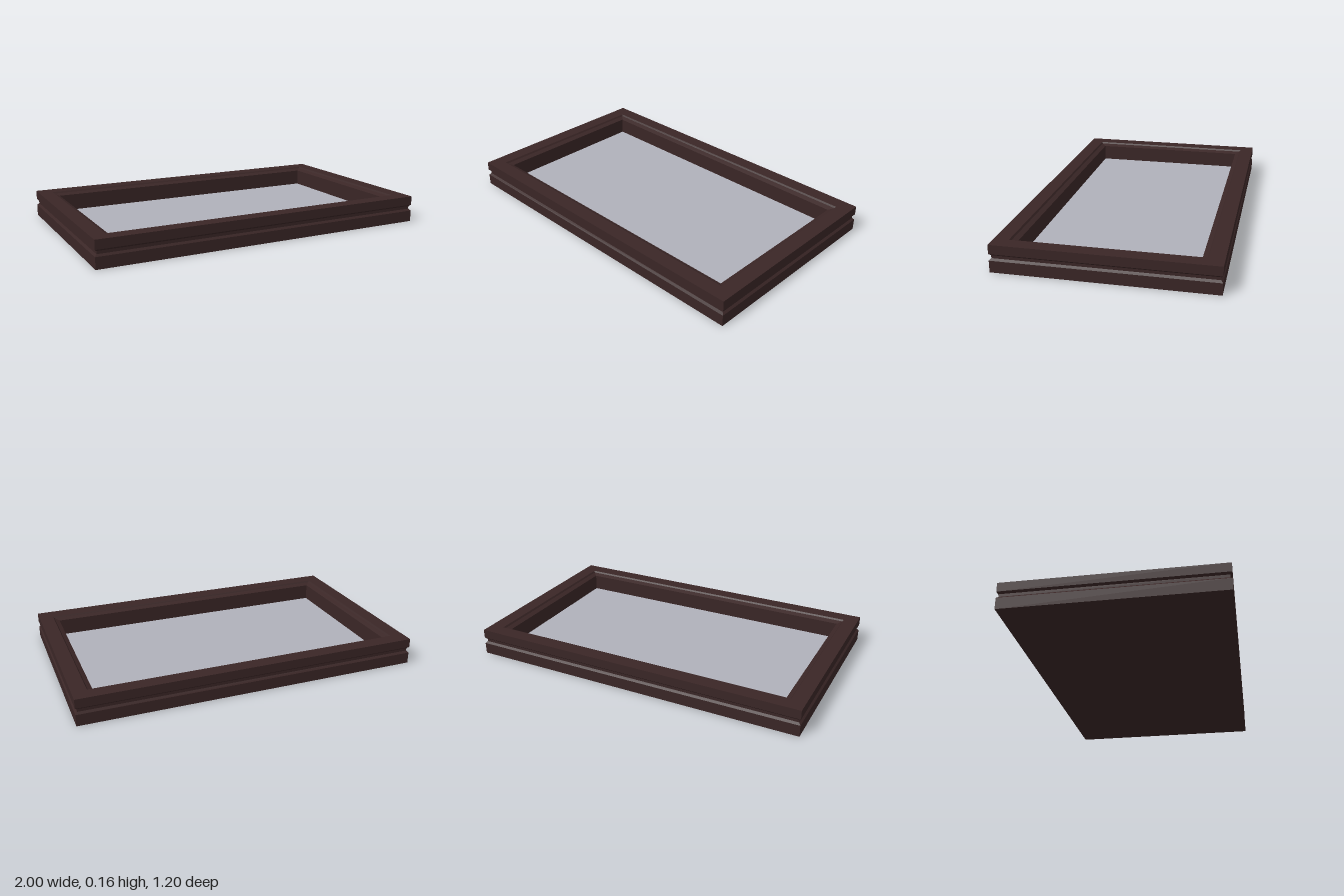
import * as THREE from 'three';

const HALF_X = 1, HALF_Z = 0.6;

// Sweep a profile of [inset, height] points round a mitred rectangle
function mitredRing(profile) {
  const corners = [[1, 1], [1, -1], [-1, -1], [-1, 1]];
  const point = ([inset, y], [sx, sz]) => [sx * (HALF_X - inset), y, sz * (HALF_Z - inset)];
  const positions = [];
  for (let i = 0; i < profile.length - 1; i++) {
    for (let j = 0; j < 4; j++) {
      const from = corners[j], to = corners[(j + 1) % 4];
      const a = point(profile[i], from), b = point(profile[i], to);
      const c = point(profile[i + 1], to), d = point(profile[i + 1], from);
      positions.push(...a, ...b, ...c, ...a, ...c, ...d);
    }
  }
  const geometry = new THREE.BufferGeometry();
  geometry.setAttribute('position', new THREE.Float32BufferAttribute(positions, 3));
  geometry.computeVertexNormals();
  return geometry;
}

export function createModel() {
  const model = new THREE.Group();
  model.name = 'framedTray';

  const darkWood = new THREE.MeshStandardMaterial({ color: 0x3a2626 });
  darkWood.name = 'dark wood';
  const paleGlass = new THREE.MeshStandardMaterial({ color: 0xb0b1ba });
  paleGlass.name = 'pale glass';

  const add = (name, geometry, material, y = 0) => {
    const mesh = new THREE.Mesh(geometry, material);
    mesh.name = name;
    mesh.position.y = y;
    model.add(mesh);
    return mesh;
  };

  // Frame: outer wall with a groove, flat top, bevelled lip, inner wall
  add('frame', mitredRing([
    [0, 0], [0, 0.066], [0.011, 0.077], [0.011, 0.093], [0, 0.103],
    [0, 0.155], [0.083, 0.155], [0.09, 0.146], [0.117, 0.135], [0.117, 0.036],
  ]), darkWood);

  // Underside
  const base = new THREE.PlaneGeometry(2 * HALF_X, 2 * HALF_Z).rotateX(Math.PI / 2);
  add('base', base, darkWood);

  // Sunken panel
  const panel = new THREE.PlaneGeometry(1.766, 0.966).rotateX(-Math.PI / 2);
  add('panel', panel, paleGlass, 0.038);

  return model;
}
